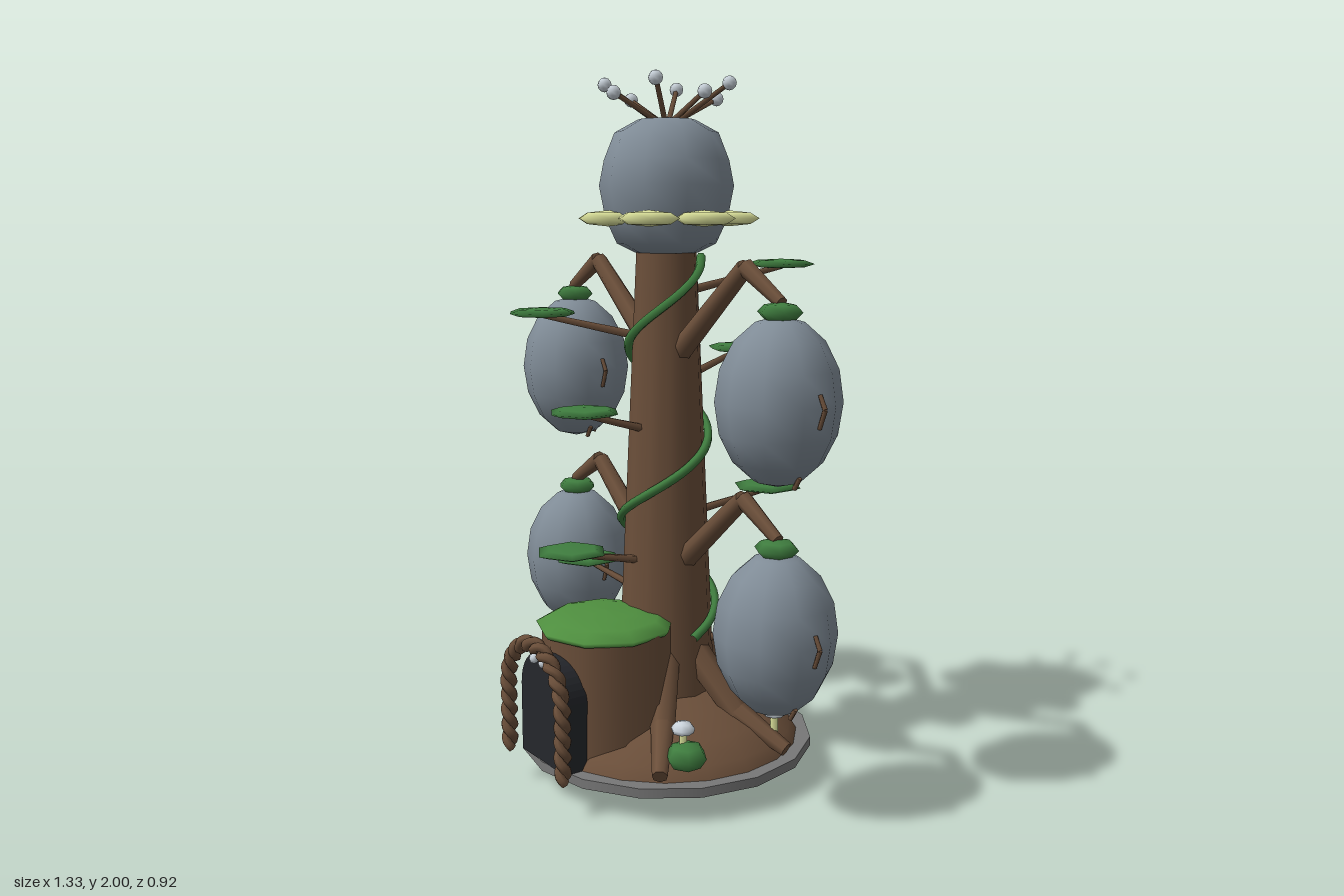
import * as THREE from 'three';

const mat = (color) => new THREE.MeshStandardMaterial({ color });
const V = (x, y, z) => new THREE.Vector3(x, y, z);

export function createModel() {
  const model = new THREE.Group();
  model.position.set(-0.013, 0, -0.018);
  const root = new THREE.Group();
  root.add(model);

  const bark = mat(0x6b4f3a), leaf = mat(0x3f7d3f), moss = mat(0x4f8f3f), pod = mat(0x808c97);
  const cream = mat(0xdde39c), pale = mat(0xc9d2da), stone = mat(0x777777), dark = mat(0x25272c);

  const add = (name, geo, material, x = 0, y = 0, z = 0, parent = model) => {
    const m = new THREE.Mesh(geo, material);
    m.name = name;
    m.position.set(x, y, z);
    parent.add(m);
    return m;
  };
  // Tapered rod between two points
  const rod = (name, a, b, ra, rb, material, sides = 6, parent = model) => {
    const d = b.clone().sub(a);
    const m = add(name, new THREE.CylinderGeometry(rb, ra, d.length(), sides), material, 0, 0, 0, parent);
    m.position.copy(a).add(b).multiplyScalar(0.5);
    m.quaternion.setFromUnitVectors(V(0, 1, 0), d.normalize());
    return m;
  };
  // Flattened six-sided lens, pointed along z
  const lens = (name, r, h, material, x, y, z, parent = model) =>
    add(name, new THREE.SphereGeometry(1, 6, 4).rotateY(Math.PI / 6).scale(r, h, r), material, x, y, z, parent);
  const lathe = (pts, n) => new THREE.LatheGeometry(pts.map((p) => new THREE.Vector2(...p)), n);

  // Base: stone rim, soil underneath, mound on top
  add('stoneRim', new THREE.CylinderGeometry(0.43, 0.43, 0.027, 16), stone, 0, 0.088, 0);
  add('soilUnderside', lathe([[0, 0], [0.1, 0.007], [0.2, 0.025], [0.28, 0.047], [0.34, 0.078]], 20), bark);
  add('mound', lathe([[0.39, 0.1], [0.37, 0.135], [0.31, 0.18], [0.22, 0.22], [0.12, 0.25], [0, 0.26]], 20), bark);

  // Trunk
  add('trunk', new THREE.CylinderGeometry(0.084, 0.146, 1.38, 12), bark, 0, 0.86, 0);

  // Roots
  for (const deg of [38, -20, -86, -143, 157, 97]) {
    const a = deg * Math.PI / 180;
    const p = (r, y) => V(r * Math.cos(a), y, r * Math.sin(a));
    rod('rootUpper', p(0.1, 0.36), p(0.25, 0.2), 0.045, 0.036, bark, 7);
    rod('rootLower', p(0.23, 0.215), p(0.41, 0.13), 0.036, 0.022, bark, 7);
  }

  // Spiral vine
  const vinePts = [];
  for (let y = 0.42; y <= 1.52; y += 0.035) {
    const a = (y - 0.8) / 0.5 * Math.PI * 2;
    const r = 0.146 - 0.045 * (y - 0.17) + 0.012;
    vinePts.push(V(r * Math.sin(a), y, r * Math.cos(a)));
  }
  add('vine', new THREE.TubeGeometry(new THREE.CatmullRomCurve3(vinePts), 90, 0.013, 6), leaf);

  // Leaves on twigs
  const leaves = [
    [0.105, 1.48, -0.335], [-0.157, 1.35, 0.315], [-0.09, 1.22, -0.34],
    [0.035, 1.09, 0.3], [-0.26, 0.962, -0.235], [0.14, 0.835, -0.265],
    [0.033, 0.705, 0.345], [-0.305, 0.573, 0.083], [0.215, 0.445, -0.27],
  ];
  for (const [x, y, z] of leaves) {
    const k = 0.08 / Math.hypot(x, z);
    rod('twig', V(x * k, y - 0.07, z * k), V(x, y - 0.008, z), 0.013, 0.008, bark, 5);
    lens('leaf', 0.103, 0.014, leaf, x, y, z);
  }

  // Branches with hanging pods
  for (const s of [-1, 1]) for (const dy of [0, -0.617]) {
    const elbow = V(s * 0.355, 1.485 + dy, 0);
    rod('branchInner', V(s * 0.05, 1.225 + dy, 0), elbow, 0.034, 0.025, bark, 7);
    rod('branchOuter', elbow, V(s * 0.5, 1.4 + dy, 0), 0.025, 0.017, bark, 7);
    const g = new THREE.Group();
    g.name = 'hangingPod';
    g.position.set(s * 0.495, 1.147 + dy, 0);
    model.add(g);
    add('podBody', new THREE.SphereGeometry(1, 10, 8).rotateY(Math.PI / 2).scale(0.166, 0.222, 0.166), pod, 0, 0, 0, g);
    lens('podCap', 0.062, 0.026, leaf, 0, 0.23, 0, g);
    // Small bark hooks on two sides
    for (const [dx, dz] of [[1, 0], [0, -1]]) {
      const p = (r, y) => V(dx * r, y, dz * r);
      rod('hookUpper', p(0.155, 0.035), p(0.174, 0), 0.006, 0.007, bark, 5, g);
      rod('hookLower', p(0.174, 0), p(0.155, -0.05), 0.007, 0.006, bark, 5, g);
      rod('hookBottom', p(0.085, -0.185), p(0.065, -0.217), 0.007, 0.007, bark, 5, g);
    }
  }

  // Crown: bulb, petals and stamens
  add('crownBulb', lathe([[0, 1.505], [0.09, 1.515], [0.14, 1.54], [0.172, 1.61], [0.189, 1.7],
    [0.175, 1.77], [0.145, 1.845], [0.08, 1.88], [0, 1.887]], 10), pod);
  for (let i = 0; i < 7; i++) {
    const a = i / 7 * Math.PI * 2;
    lens('petal', 0.092, 0.022, cream, 0.175 * Math.cos(a), 1.61, 0.175 * Math.sin(a));
  }
  for (let i = 0; i < 8; i++) {
    const a = i / 8 * Math.PI * 2, y = i % 2 ? 1.976 : 1.944;
    const tip = V(0.175 * Math.cos(a), y, 0.175 * Math.sin(a));
    rod('stamen', V(0.03 * Math.cos(a), 1.875, 0.03 * Math.sin(a)), tip, 0.008, 0.007, bark, 5);
    add('stamenTip', new THREE.SphereGeometry(0.02, 8, 6), pale, tip.x, tip.y, tip.z);
  }

  // Porch with mossy roof
  add('porchWall', new THREE.CylinderGeometry(0.186, 0.19, 0.37, 10), bark, 0, 0.285, 0.21);
  add('porchRoof', lathe([[0, 0.455], [0.19, 0.455], [0.2, 0.47], [0.16, 0.492], [0.09, 0.503], [0, 0.507]], 9), moss, 0, 0, 0.215);

  // Arched door
  const arch = new THREE.Shape();
  arch.moveTo(-0.118, 0.1);
  arch.lineTo(0.118, 0.1);
  arch.lineTo(0.118, 0.3);
  arch.absarc(0, 0.3, 0.118, 0, Math.PI, false);
  arch.lineTo(-0.118, 0.1);
  add('door', new THREE.ExtrudeGeometry(arch, { depth: 0.09, bevelEnabled: false, curveSegments: 10 }), dark, 0, 0, 0.335);

  // Twisted door frame made of two strands
  const archPoint = (t) => {
    const R = 0.148, leg = 0.2, bow = Math.PI * R, s = t * (2 * leg + bow);
    if (s < leg) return [R, 0.1 + s, 1, 0];
    if (s > leg + bow) return [-R, 0.1 + 2 * leg + bow - s, -1, 0];
    const a = (s - leg) / R;
    return [R * Math.cos(a), 0.3 + R * Math.sin(a), Math.cos(a), Math.sin(a)];
  };
  for (const phase of [0, Math.PI]) {
    const pts = [];
    for (let i = 0; i <= 100; i++) {
      const [x, y, nx, ny] = archPoint(i / 100);
      const a = i / 100 * Math.PI * 20 + phase, o = 0.011 * Math.cos(a);
      pts.push(V(x + nx * o, y + ny * o, 0.45 + 0.011 * Math.sin(a)));
    }
    add('frameStrand', new THREE.TubeGeometry(new THREE.CatmullRomCurve3(pts), 160, 0.014, 6), bark);
  }
  for (const s of [-1, 1]) add('doorLight', new THREE.SphereGeometry(0.014, 8, 6), pale, s * 0.025, 0.4, 0.436);

  // Mushrooms and a small bush
  const mushrooms = [[-0.357, 0.25, 0.048], [-0.28, 0.255, -0.277], [0.063, 0.22, -0.335],
    [0.333, 0.23, -0.139], [0.313, 0.245, 0.168]];
  for (const [x, y, z] of mushrooms) {
    rod('mushroomStem', V(x, y - 0.1, z), V(x, y - 0.005, z), 0.013, 0.011, cream, 6);
    add('mushroomCap', lathe([[0, -0.012], [0.03, -0.012], [0.033, 0], [0.022, 0.014], [0, 0.02]], 8), pale, x, y, z);
  }
  lens('bush', 0.06, 0.04, leaf, 0.325, 0.168, 0.165);

  return root;
}
